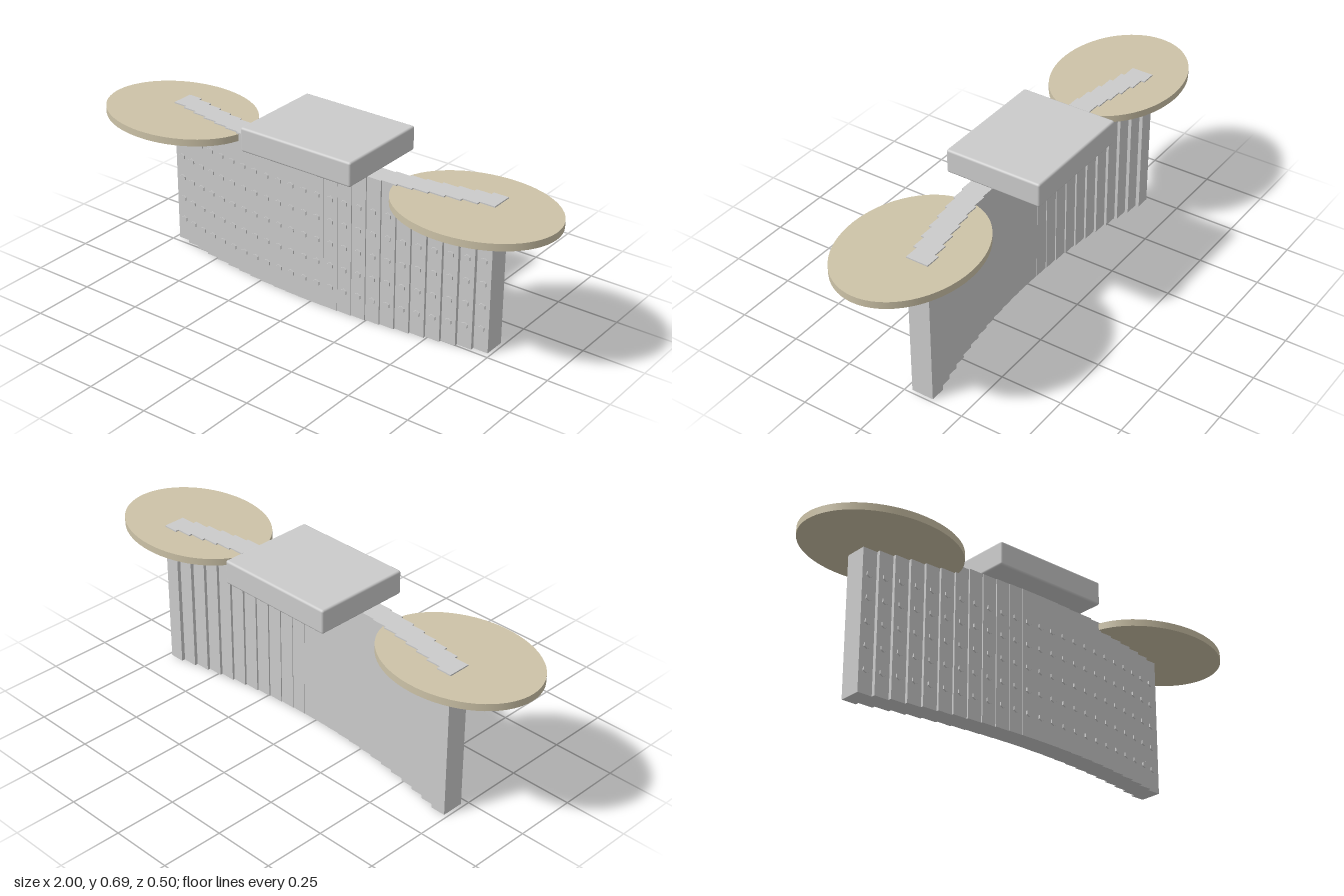
import * as THREE from 'three';
import { RoundedBoxGeometry } from 'three/addons/geometries/RoundedBoxGeometry.js';

export function createModel() {
  const model = new THREE.Group();
  const grey = new THREE.MeshStandardMaterial({ color: 0xcccccc });
  const facet = new THREE.MeshStandardMaterial({ color: 0xcccccc, flatShading: true });
  const tan = new THREE.MeshStandardMaterial({ color: 0xcdc3a8 });

  function add(parent, name, geometry, material, x, y, z) {
    const mesh = new THREE.Mesh(geometry, material);
    mesh.name = name;
    mesh.position.set(x, y, z);
    parent.add(mesh);
    return mesh;
  }

  // Bowed front wall: upright slats stepped back along a parabola, each with a column of studs
  const count = 24, pitch = 0.0613, height = 0.595, depth = 0.09;
  const slatGeometry = new THREE.BoxGeometry(pitch, height, depth);
  const studGeometry = new THREE.CylinderGeometry(0.014, 0.014, 0.012, 6).rotateX(Math.PI / 2);
  const wall = new THREE.Group();
  wall.name = 'curvedWall';
  model.add(wall);
  for (let i = 0; i < count; i++) {
    const k = i - (count - 1) / 2;
    const x = k * pitch;
    const front = 0.065 - 0.09 * (k / 11.5) ** 2;
    add(wall, 'wallSlat', slatGeometry, grey, x, height / 2, front - depth / 2);
    for (let row = 1; row <= 5; row++) {
      add(wall, 'stud', studGeometry, facet, x, row * 0.0923, front);
    }
  }

  // Oval table tops at both ends, with the wall just showing through
  const topGeometry = new THREE.CylinderGeometry(1, 1, 0.028, 64).scale(0.325, 1, 0.25);
  for (const side of [-1, 1]) {
    add(model, side > 0 ? 'leftOvalTop' : 'rightOvalTop', topGeometry, tan, side * 0.675, 0.576, 0);
  }

  // Raised centre block
  add(model, 'centreBlock', new RoundedBoxGeometry(0.5, 0.097, 0.4, 3, 0.009), grey, 0, 0.6405, -0.04);

  return model;
}
